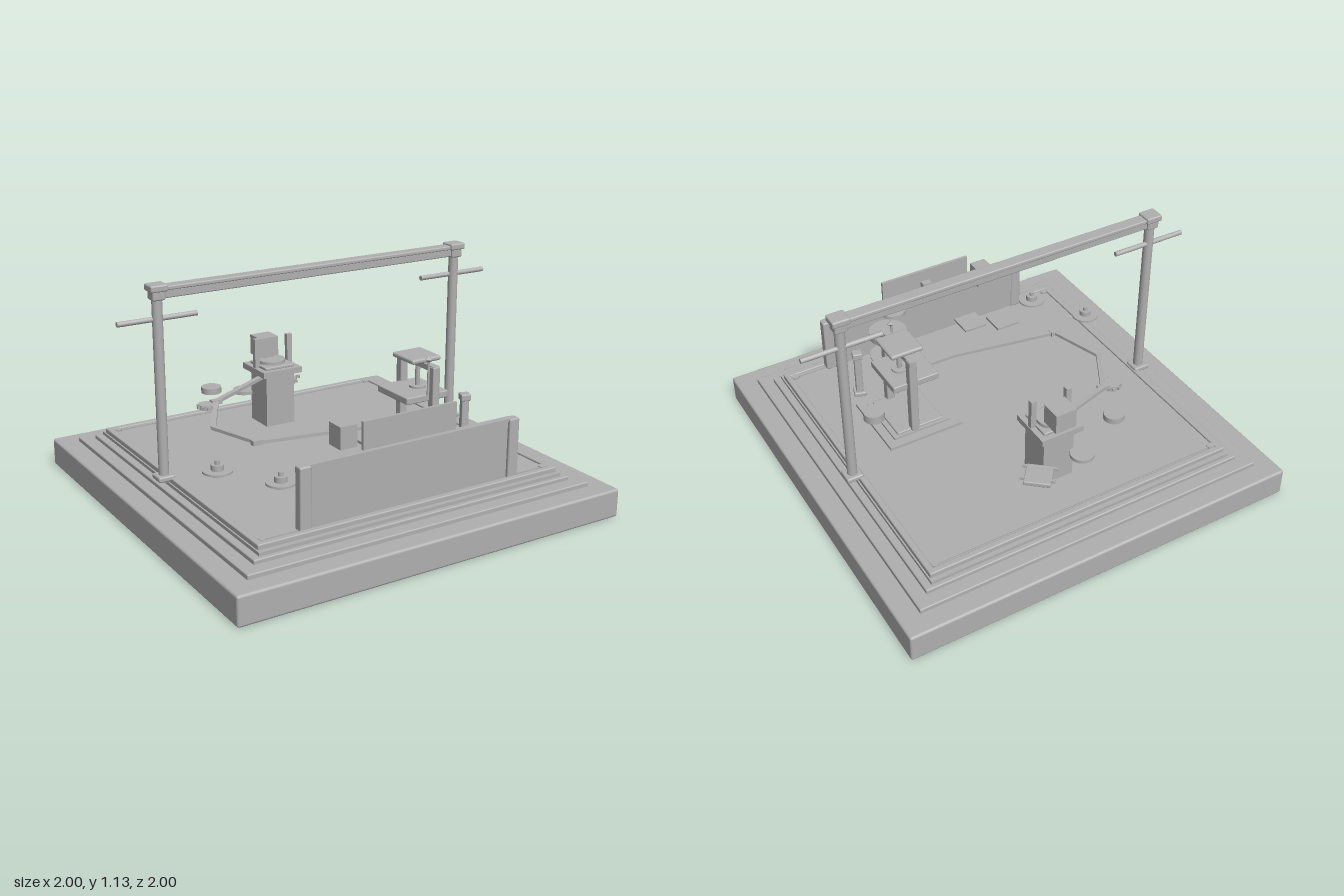
import * as THREE from 'three';
import { RoundedBoxGeometry } from 'three/addons/geometries/RoundedBoxGeometry.js';

export function createModel() {
  const model = new THREE.Group();
  model.name = 'tabletopStage';
  const grey = new THREE.MeshStandardMaterial({ color: 0xb0b0b0 });
  grey.name = 'plain grey';

  const add = (name, geo, x, y, z, parent = model) => {
    const m = new THREE.Mesh(geo, grey);
    m.name = name;
    m.position.set(x, y, z);
    parent.add(m);
    return m;
  };
  // Box given by its lower and upper limits
  const box = (name, x0, x1, y0, y1, z0, z1) => add(name,
    new THREE.BoxGeometry(x1 - x0, y1 - y0, z1 - z0), (x0 + x1) / 2, (y0 + y1) / 2, (z0 + z1) / 2);
  const soft = (name, x0, x1, y0, y1, z0, z1, r = 0.008) => add(name,
    new RoundedBoxGeometry(x1 - x0, y1 - y0, z1 - z0, 2, r), (x0 + x1) / 2, (y0 + y1) / 2, (z0 + z1) / 2);
  // Upright cylinder
  const disc = (name, x, z, r, y0, y1, r2 = r) => add(name,
    new THREE.CylinderGeometry(r2, r, y1 - y0, 28), x, (y0 + y1) / 2, z);
  // Flat bar between two points
  const link = (name, a, b, w, t) => {
    const p = new THREE.Vector3(...a), q = new THREE.Vector3(...b);
    const m = add(name, new THREE.BoxGeometry(w, t, p.distanceTo(q)), 0, 0, 0);
    m.position.copy(p).add(q).multiplyScalar(0.5);
    m.lookAt(q);
    return m;
  };

  // Stepped base
  soft('basePlinth', -1, 1, 0, 0.14, -1, 1, 0.012);
  soft('lowerStep', -0.9, 0.9, 0.13, 0.162, -0.9, 0.9, 0.006);
  soft('middleStep', -0.835, 0.835, 0.15, 0.182, -0.835, 0.835, 0.006);
  box('upperStep', -0.8, 0.8, 0.17, 0.198, -0.815, 0.815);
  box('deck', -0.775, 0.775, 0.18, 0.212, -0.775, 0.775);
  for (const s of [-1, 1]) {
    const c = 0.777 * s;
    soft('deckRimLong', -0.793, 0.793, 0.19, 0.222, c - 0.016, c + 0.016, 0.006);
    soft('deckRimSide', c - 0.016, c + 0.016, 0.19, 0.222, -0.793, 0.793, 0.006);
    box('deckRail', -0.745, 0.745, 0.208, 0.219, s * 0.745 - 0.005, s * 0.745 + 0.005);
    for (const t of [-1, 1]) disc('cornerPin', s * 0.745, t * 0.745, 0.018, 0.205, 0.222);
  }

  // Gantry with two posts, a beam and side rods
  for (const s of [-1, 1]) {
    const x = s * 0.81, z = -0.062;
    disc('gantryPost', x, z, 0.024, 0.2, 1.08);
    soft('postFoot', x - 0.042, x + 0.042, 0.208, 0.234, z - 0.04, z + 0.04);
    soft('postCap', x - 0.042, x + 0.042, 1.095, 1.127, z - 0.04, z + 0.04);
    soft('postCapNeck', x - 0.031, x + 0.031, 1.055, 1.1, z - 0.031, z + 0.031);
    const rod = add('sideRod', new THREE.CylinderGeometry(0.012, 0.012, 0.385, 16), s * 0.8075, 0.967, -0.068);
    rod.rotation.z = Math.PI / 2;
  }
  soft('beamBody', -0.8, 0.8, 1.06, 1.1, -0.082, -0.042, 0.006);
  soft('beamTop', -0.8, 0.8, 1.097, 1.117, -0.092, -0.032, 0.006);

  // Front panel and the plate standing on it
  box('frontPanel', -0.565, 0.565, 0.215, 0.492, 0.727, 0.752);
  for (const s of [-1, 1]) {
    const x = s * 0.55;
    soft('panelEndPost', x - 0.028, x + 0.028, 0.21, 0.5, 0.722, 0.768);
  }
  box('panelTopRail', -0.55, 0.55, 0.485, 0.5, 0.724, 0.758);
  box('signPlate', -0.25, 0.24, 0.49, 0.628, 0.722, 0.736);
  box('plateKnob', -0.024, 0.024, 0.515, 0.565, 0.69, 0.725);

  // Blocks and turntables behind the panel
  box('sideBlock', -0.335, -0.25, 0.502, 0.605, 0.6, 0.69);
  box('lowTrayA', -0.28, -0.155, 0.265, 0.277, 0.575, 0.7);
  box('lowTrayB', -0.44, -0.31, 0.265, 0.277, 0.505, 0.63);
  disc('largeTurntable', 0.275, 0.613, 0.097, 0.385, 0.418);
  disc('turntableHub', 0.275, 0.645, 0.063, 0.37, 0.386);
  disc('smallTurntable', 0.225, 0.65, 0.066, 0.493, 0.51);
  disc('floorDisc', 0.275, 0.61, 0.07, 0.222, 0.25);
  disc('thinDisc', 0.275, 0.61, 0.1, 0.266, 0.274);

  // Pair of hovering wheels with hubs
  for (const [x, z] of [[-0.715, 0.293], [-0.545, 0.55]]) {
    disc('wheelPlate', x, z, 0.068, 0.35, 0.359);
    disc('wheelHub', x, z, 0.029, 0.33, 0.385);
    disc('wheelPin', x, z, 0.012, 0.385, 0.403);
  }

  // Framed press on a stepped pad
  box('pressPad', 0.19, 0.578, 0.2, 0.226, 0, 0.385);
  box('pressPadMiddle', 0.235, 0.535, 0.222, 0.236, 0.045, 0.34);
  soft('pressPadTop', 0.265, 0.51, 0.23, 0.247, 0.06, 0.335, 0.005);
  for (const z of [0.068, 0.33]) soft('pressColumn', 0.397, 0.438, 0.235, 0.65, z - 0.021, z + 0.021, 0.006);
  box('pressCrossbar', 0.4, 0.435, 0.625, 0.652, 0.045, 0.345);
  soft('pressShelf', 0.27, 0.51, 0.478, 0.513, 0.075, 0.32, 0.006);
  disc('pressStem', 0.417, 0.198, 0.012, 0.51, 0.63);
  disc('pressFoot', 0.417, 0.198, 0.04, 0.513, 0.523);
  soft('pressTopPlate', 0.333, 0.5, 0.652, 0.676, 0.1, 0.272, 0.01);
  add('pressFinial', new THREE.OctahedronGeometry(0.02), 0.387, 0.687, 0.325);
  disc('finialRod', 0.387, 0.325, 0.006, 0.51, 0.68);
  disc('sideDrum', 0.567, 0.197, 0.052, 0.27, 0.313);

  // Small turned post beside the press
  for (const [w, y0, y1] of [[0.06, 0.262, 0.285], [0.036, 0.28, 0.49], [0.048, 0.485, 0.518]]) {
    add('smallPost', new RoundedBoxGeometry(w, y1 - y0, w, 2, 0.005), 0.54, (y0 + y1) / 2, 0.41).rotation.y = -0.3;
  }

  // Rear tower
  box('towerBody', -0.08, 0.08, 0.21, 0.485, -0.56, -0.4);
  box('towerTop', -0.11, 0.11, 0.48, 0.51, -0.592, -0.373);
  soft('towerTray', -0.083, 0.083, 0.508, 0.524, -0.565, -0.4, 0.005);
  disc('towerDisc', 0, -0.49, 0.07, 0.52, 0.54);
  box('towerBlock', -0.055, 0.052, 0.545, 0.645, -0.61, -0.51);
  box('blockSupport', -0.03, 0.03, 0.53, 0.55, -0.56, -0.51);
  for (const s of [-1, 1]) box('towerRod', s * 0.093 - 0.014, s * 0.093 + 0.014, 0.505, 0.66, -0.49, -0.465);

  // Floating discs and tilted tray behind the tower
  disc('rearDisc', -0.1, -0.605, 0.057, 0.345, 0.362);
  disc('leftDisc', -0.33, -0.52, 0.05, 0.41, 0.44);
  const tray = new THREE.Group();
  tray.name = 'turnedTray';
  tray.position.set(0.15, 0.357, -0.63);
  tray.rotation.y = -0.7;
  model.add(tray);
  add('trayPlate', new RoundedBoxGeometry(0.125, 0.022, 0.125, 2, 0.005), 0, 0, 0, tray);
  for (const s of [-1, 1]) for (const t of [-1, 1]) {
    add('trayPeg', new THREE.BoxGeometry(0.022, 0.014, 0.012), s * 0.07, 0.013, t * 0.04, tray);
  }

  // Jointed arm from the tower to the press
  const path = [[-0.08, 0.465, -0.45], [-0.4, 0.428, -0.33], [-0.545, 0.402, -0.08],
    [-0.46, 0.402, 0.19], [0.07, 0.402, 0.285], [0.4, 0.402, 0.29]];
  for (let i = 0; i < path.length - 1; i++) link('armLink', path[i], path[i + 1], 0.026, 0.016);
  for (const i of [1, 3]) add('armJoint', new THREE.BoxGeometry(0.055, 0.022, 0.03), ...path[i]);
  disc('armGear', -0.455, -0.32, 0.042, 0.408, 0.43);
  for (let i = 0; i < 10; i++) {
    const a = i * Math.PI / 5;
    add('gearTooth', new THREE.BoxGeometry(0.012, 0.016, 0.012),
      -0.455 + 0.044 * Math.cos(a), 0.419, -0.32 + 0.044 * Math.sin(a)).rotation.y = -a;
  }
  return model;
}
